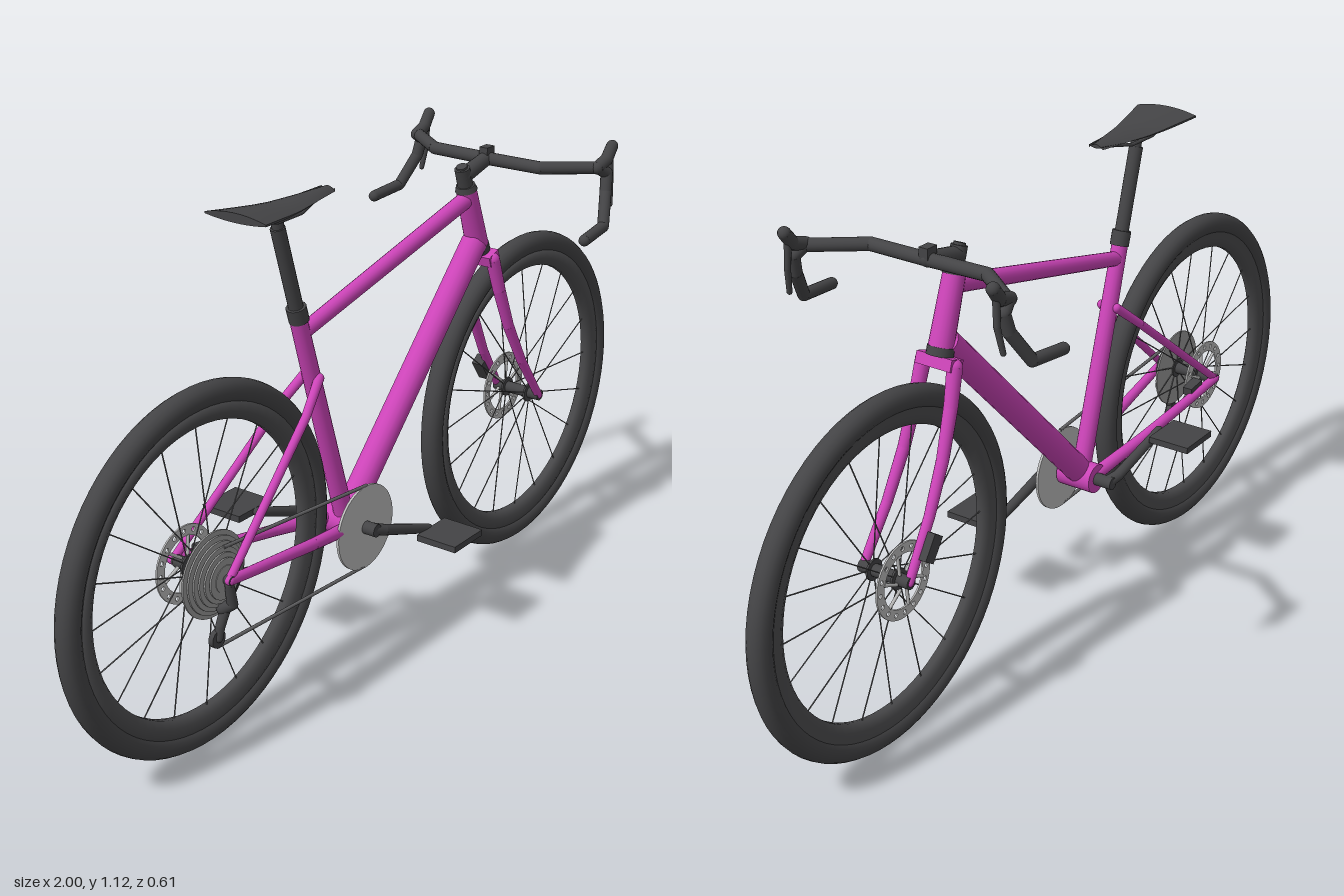
import * as THREE from 'three';

const mat = (name, color, side = THREE.FrontSide) => {
  const m = new THREE.MeshStandardMaterial({ color, side });
  m.name = name;
  return m;
};
const V = (p) => new THREE.Vector3(...p);

export function createModel() {
  const pink = mat('frame pink', 0xcc44b8);
  const dark = mat('dark parts', 0x444446);
  const silver = mat('light metal', 0xbcbcbc);
  const grey = mat('cassette grey', 0x999999);
  const wire = mat('spoke grey', 0x666668);
  const bike = new THREE.Group();
  bike.name = 'bicycle';

  const add = (parent, name, geo, material, pos = [0, 0, 0]) => {
    const m = new THREE.Mesh(geo, material);
    m.name = name;
    m.position.set(...pos);
    parent.add(m);
    return m;
  };
  // straight tube between two points, optionally tapered
  const rod = (parent, name, a, b, r1, r2, material, sides = 16) => {
    const A = V(a), d = V(b).sub(A);
    const m = add(parent, name, new THREE.CylinderGeometry(r2, r1, d.length(), sides), material);
    m.position.copy(A).addScaledVector(d, 0.5);
    m.quaternion.setFromUnitVectors(new THREE.Vector3(0, 1, 0), d.normalize());
    return m;
  };
  // tube through several points with rounded joints; r may taper
  const pipe = (parent, name, pts, r1, r2, material) => {
    const g = new THREE.Group();
    g.name = name;
    parent.add(g);
    const n = pts.length - 1, r = (i) => r1 + (r2 - r1) * i / n;
    pts.forEach((p, i) => {
      add(g, name + 'Joint', new THREE.SphereGeometry(r(i), 14, 10), material, p);
      if (i < n) rod(g, name + 'Section', p, pts[i + 1], r(i), r(i + 1), material);
    });
  };
  const disc = (parent, name, r1, r2, depth, material, pos, seg = 40) => {
    const geo = new THREE.CylinderGeometry(r2, r1, depth, seg).rotateX(Math.PI / 2);
    return add(parent, name, geo, material, pos);
  };

  // wheels: tyre, rim, hub, spokes and brake rotor
  const AX = 0.598, AY = 0.404;
  const wheel = (name, x) => {
    const g = new THREE.Group();
    g.name = name;
    g.position.set(x, AY, 0);
    bike.add(g);
    add(g, 'tyre', new THREE.TorusGeometry(0.376, 0.026, 16, 72), dark);
    const rim = [[0.36, -0.018], [0.335, -0.016], [0.318, -0.007], [0.318, 0.007], [0.335, 0.016], [0.36, 0.018], [0.36, -0.018]];
    const rimGeo = new THREE.LatheGeometry(rim.map(([r, z]) => new THREE.Vector2(r, z)).reverse(), 72);
    add(g, 'rim', rimGeo.rotateX(Math.PI / 2), dark).material = rimMat;
    disc(g, 'hub', 0.014, 0.014, 0.13, dark, [0, 0, 0], 20);
    for (const s of [-1, 1]) disc(g, 'hubFlange', 0.024, 0.024, 0.005, dark, [0, 0, s * 0.032], 20);
    for (let i = 0; i < 20; i++) {
      const a = i * Math.PI / 10, s = i % 2 ? 1 : -1, c = Math.cos(a), n = Math.sin(a);
      rod(g, 'spoke', [0.02 * c, 0.02 * n, s * 0.032], [0.325 * c, 0.325 * n, 0], 0.0015, 0.0015, wire, 6);
    }
    // rotor ring with slots and thin arms
    const ring = new THREE.Shape().absarc(0, 0, 0.086, 0, Math.PI * 2);
    ring.holes.push(new THREE.Path().absarc(0, 0, 0.062, 0, Math.PI * 2, true));
    for (let i = 0; i < 16; i++) {
      const a = i * Math.PI / 8;
      ring.holes.push(new THREE.Path().absarc(0.074 * Math.cos(a), 0.074 * Math.sin(a), 0.005, 0, Math.PI * 2, true));
    }
    const ringGeo = new THREE.ExtrudeGeometry(ring, { depth: 0.004, bevelEnabled: false, curveSegments: 20 });
    add(g, 'brakeRotor', ringGeo, silver, [0, 0, -0.046]);
    for (let i = 0; i < 6; i++) {
      const a = i * Math.PI / 3, c = Math.cos(a), n = Math.sin(a);
      rod(g, 'rotorArm', [0.02 * c, 0.02 * n, -0.044], [0.064 * Math.cos(a + 0.3), 0.064 * Math.sin(a + 0.3), -0.044], 0.004, 0.004, silver, 6);
    }
  };
  const rimMat = mat('rim dark grey', 0x4c4c4e, THREE.DoubleSide);
  wheel('rearWheel', -AX);
  wheel('frontWheel', AX);

  // main frame tubes
  const BX = -0.115, BY = 0.323;
  const frame = new THREE.Group();
  frame.name = 'frame';
  bike.add(frame);
  rod(frame, 'seatTube', [BX, BY, 0], [-0.272, 0.855, 0], 0.022, 0.019, pink);
  rod(frame, 'topTube', [-0.26, 0.815, 0], [0.35, 0.958, 0], 0.017, 0.02, pink);
  rod(frame, 'downTube', [BX, BY + 0.005, 0], [0.385, 0.845, 0], 0.031, 0.031, pink);
  rod(frame, 'headTube', [0.398, 0.835, 0], [0.347, 0.982, 0], 0.027, 0.024, pink, 20);
  disc(frame, 'bottomBracketShell', 0.035, 0.035, 0.09, pink, [BX, BY, 0], 24);
  for (const s of [-1, 1]) {
    pipe(frame, 'seatStay', [[-0.228, 0.708, s * 0.02], [-0.3, 0.648, s * 0.04], [-AX, AY, s * 0.076]], 0.011, 0.009, pink);
    pipe(frame, 'chainStay', [[BX - 0.01, BY + 0.005, s * 0.035], [-0.3, 0.356, s * 0.055], [-AX, AY, s * 0.078]], 0.016, 0.011, pink);
    // curved fork leg
    pipe(bike, 'forkLeg', [[0.405, 0.805, s * 0.04], [0.428, 0.725, s * 0.045], [0.465, 0.625, s * 0.05],
      [0.52, 0.52, s * 0.055], [AX, AY, s * 0.06]], 0.017, 0.01, pink);
  }
  const crown = add(bike, 'forkCrown', new THREE.BoxGeometry(0.04, 0.026, 0.09), pink, [0.405, 0.808, 0]);
  crown.rotation.z = 0.33;
  disc(bike, 'rearAxle', 0.01, 0.01, 0.17, dark, [-AX, AY, 0], 16);
  add(bike, 'frontCaliper', new THREE.BoxGeometry(0.03, 0.06, 0.03), dark, [0.545, 0.465, -0.07]).rotation.z = 0.6;
  add(bike, 'rearCaliper', new THREE.BoxGeometry(0.05, 0.02, 0.025), dark, [-0.52, 0.405, -0.06]).rotation.z = -0.15;

  // seat post and saddle
  rod(bike, 'seatCollar', [-0.267, 0.845, 0], [-0.277, 0.878, 0], 0.022, 0.022, dark);
  rod(bike, 'seatPost', [-0.272, 0.86, 0], [-0.331, 1.062, 0], 0.016, 0.016, dark);
  rod(bike, 'seatClamp', [-0.328, 1.055, 0], [-0.334, 1.09, 0], 0.013, 0.013, dark);
  for (const s of [-1, 1])
    pipe(bike, 'saddleRail', [[-0.42, 1.105, s * 0.03], [-0.36, 1.084, s * 0.024], [-0.28, 1.084, s * 0.022], [-0.2, 1.1, s * 0.008]], 0.004, 0.004, dark);
  const seat = new THREE.BoxGeometry(1, 1, 1, 8, 1, 10);
  const p = seat.attributes.position;
  for (let i = 0; i < p.count; i++) {
    const t = p.getX(i) + 0.5, s = p.getZ(i) * 2, top = p.getY(i) > 0;
    const hump = Math.sin(Math.PI * t);
    const y = top ? 1.124 - 0.013 * Math.min(1, t * 2.2) - 0.01 * s * s : 1.104 - 0.01 * hump + 0.006 * s * s - 0.002 * t;
    p.setXYZ(i, -0.46 + 0.295 * t, y, s * (0.078 - 0.06 * Math.pow(t, 0.95)));
  }
  seat.computeVertexNormals();
  add(bike, 'saddle', seat, dark);

  // headset, stem and drop handlebar
  rod(bike, 'lowerHeadset', [0.402, 0.82, 0], [0.396, 0.838, 0], 0.029, 0.029, dark, 20);
  rod(bike, 'upperHeadset', [0.348, 0.98, 0], [0.344, 0.993, 0], 0.026, 0.022, dark, 20);
  rod(bike, 'steererSpacers', [0.344, 0.99, 0], [0.329, 1.035, 0], 0.018, 0.018, dark);
  pipe(bike, 'stem', [[0.337, 1.016, 0], [0.43, 1.037, 0]], 0.019, 0.017, dark);
  rod(bike, 'topCap', [0.331, 1.03, 0], [0.327, 1.04, 0], 0.013, 0.013, dark);
  add(bike, 'computerMount', new THREE.BoxGeometry(0.03, 0.025, 0.022), dark, [0.43, 1.052, 0]);
  for (const s of [-1, 1]) {
    pipe(bike, 'handlebar', [[0.43, 1.036, 0], [0.43, 1.037, s * 0.145], [0.51, 1.037, s * 0.25], [0.535, 1.02, s * 0.258],
      [0.525, 0.98, s * 0.263], [0.482, 0.912, s * 0.285], [0.388, 0.904, s * 0.292]], 0.015, 0.013, dark);
    pipe(bike, 'brakeHood', [[0.505, 1.038, s * 0.25], [0.54, 1.05, s * 0.253], [0.561, 1.077, s * 0.254]], 0.015, 0.014, dark);
    pipe(bike, 'brakeLever', [[0.552, 1.06, s * 0.254], [0.555, 1.0, s * 0.257], [0.546, 0.945, s * 0.264]], 0.008, 0.006, dark);
  }

  // cranks and pedals
  disc(bike, 'crankSpindle', 0.015, 0.015, 0.18, dark, [BX, BY, 0], 20);
  for (const s of [-1, 1]) {
    const ex = BX + s * 0.184, ey = BY - s * 0.065;
    pipe(bike, 'crank', [[BX, BY, s * 0.075], [BX + s * 0.03, BY - s * 0.01, s * 0.086], [ex, ey, s * 0.099]], 0.015, 0.011, dark);
    disc(bike, 'pedalAxle', 0.006, 0.006, 0.07, dark, [ex, ey, s * 0.125], 12);
    add(bike, 'pedal', new THREE.BoxGeometry(0.11, 0.015, 0.104), dark, [ex, ey, s * 0.158]);
  }

  // chainring, cassette, derailleur and chain
  disc(bike, 'chainring', 0.1, 0.1, 0.006, silver, [BX, BY, 0.055], 48);
  for (let i = 0; i < 6; i++)
    disc(bike, 'cassetteSprocket', 0.095 - i * 0.01, 0.095 - i * 0.01, 0.004, grey, [-AX, AY, 0.034 + i * 0.006]);
  disc(bike, 'cassetteCore', 0.03, 0.03, 0.035, grey, [-AX, AY, 0.05], 24);
  pipe(bike, 'derailleurHanger', [[-AX, AY - 0.01, 0.076], [-0.59, 0.345, 0.075], [-0.6, 0.335, 0.058]], 0.01, 0.014, dark);
  pipe(bike, 'derailleurCage', [[-0.595, 0.338, 0.062], [-0.612, 0.3, 0.06], [-0.618, 0.274, 0.06]], 0.012, 0.009, dark);
  disc(bike, 'jockeyWheel', 0.02, 0.02, 0.012, dark, [-0.618, 0.272, 0.055], 20);
  rod(bike, 'upperChain', [-0.585, 0.466, 0.052], [BX + 0.005, 0.423, 0.055], 0.004, 0.004, wire, 8);
  rod(bike, 'lowerChain', [-0.618, 0.252, 0.055], [BX - 0.005, 0.226, 0.055], 0.004, 0.004, wire, 8);
  return bike;
}
